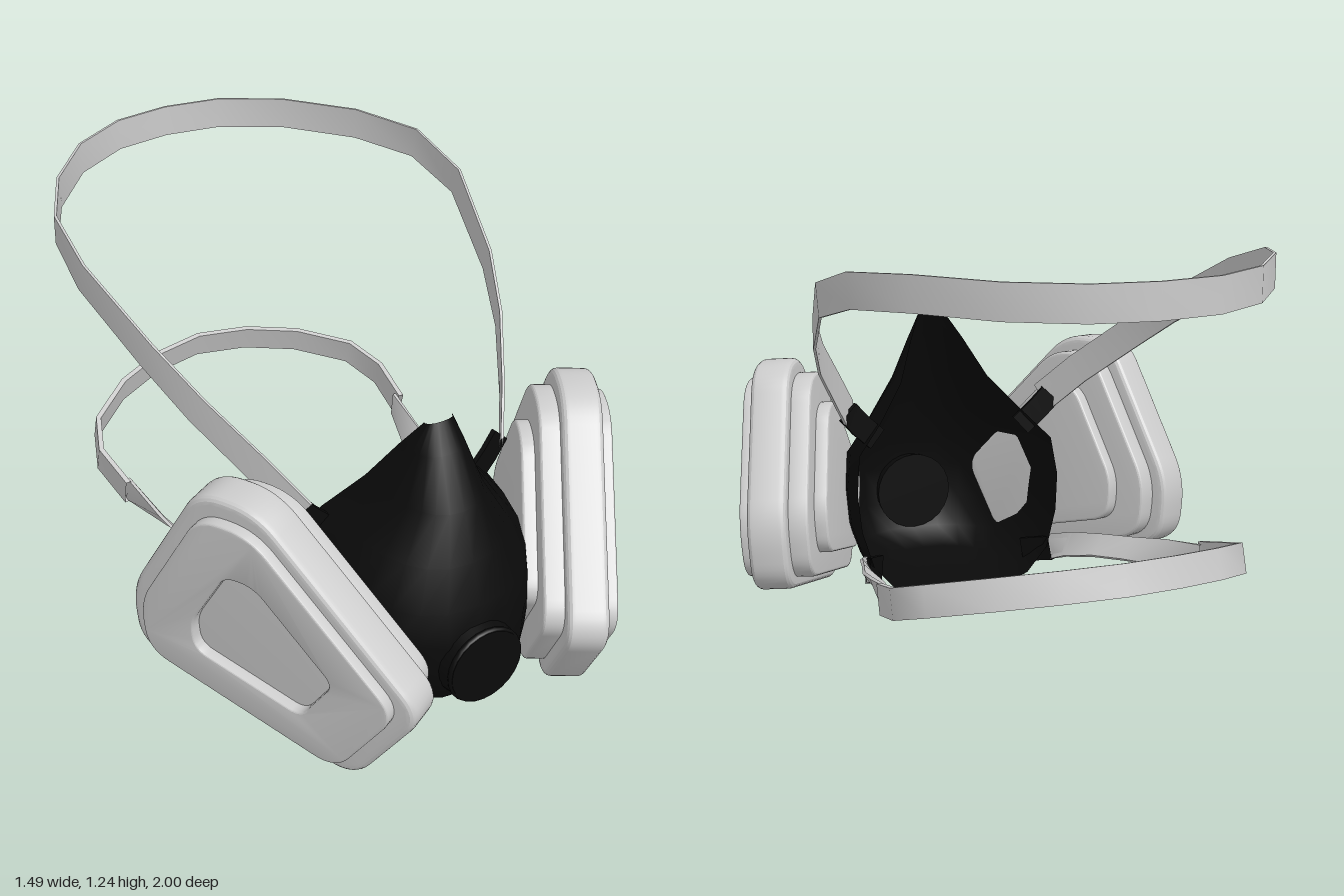
import * as THREE from 'three';
import { toCreasedNormals } from 'three/addons/utils/BufferGeometryUtils.js';

const grey = new THREE.MeshStandardMaterial({ color: 0xcccccc });
const strapMat = new THREE.MeshStandardMaterial({ color: 0xcccccc, side: THREE.DoubleSide });
const rubber = new THREE.MeshStandardMaterial({ color: 0x0a0a0a, side: THREE.DoubleSide });
const V = (p) => new THREE.Vector3(...p);

function add(parent, name, geo, mat) {
  const mesh = new THREE.Mesh(geo, mat);
  mesh.name = name;
  parent.add(mesh);
  return mesh;
}

// Indexed grid of points, rows joined by quads
function gridGeometry(rows, closed) {
  const n = rows[0].length, index = [];
  for (let i = 0; i < rows.length - 1; i++) {
    for (let j = 0; j < (closed ? n : n - 1); j++) {
      const k = (j + 1) % n, a = i * n + j, b = i * n + k;
      index.push(a, a + n, b, b, a + n, b + n);
    }
  }
  const geo = new THREE.BufferGeometry();
  geo.setAttribute('position', new THREE.Float32BufferAttribute(rows.flat().flatMap((p) => p.toArray()), 3));
  geo.setIndex(index);
  geo.computeVertexNormals();
  return geo;
}

// Flat band with a thin rectangular section; upAt(0..1) sets its twist
function ribbon(path, width, thick, upAt) {
  const pts = path.map(V), last = pts.length - 1;
  const rows = pts.map((p, i) => {
    const t = pts[Math.min(i + 1, last)].clone().sub(pts[Math.max(i - 1, 0)]).normalize();
    const up = V(upAt(i / last));
    const w = up.addScaledVector(t, -up.dot(t)).normalize();
    const n = t.clone().cross(w);
    return [[1, 1], [1, -1], [-1, -1], [-1, 1]].map(([a, b]) =>
      p.clone().addScaledVector(w, a * width / 2).addScaledVector(n, b * thick / 2));
  });
  return toCreasedNormals(gridGeometry(rows, true), 0.7);
}
const upright = () => [0, 1, 0];
const flip = ([x, y, z]) => [-x, y, z];
const mirrored = (half) => [...half, ...half.slice(0, -1).reverse().map(flip)];

// Rounded outline of the filter cartridge, counter-clockwise, scaled about its centre
const corners = [[-0.49, -0.09], [-0.27, -0.42], [0.44, -0.23], [0.45, -0.03], [0.19, 0.41], [0, 0.41]];
function outline(s, Type = THREE.Shape) {
  const pts = corners.map(([x, y]) => new THREE.Vector2(x * s, (y + 0.03) * s - 0.03));
  const shape = new Type();
  pts.forEach((p, i) => {
    const towards = (q) => p.clone().add(q.clone().sub(p).setLength(0.085 * s));
    const a = towards(pts[(i + 5) % 6]), b = towards(pts[(i + 1) % 6]);
    if (i) shape.lineTo(a.x, a.y); else shape.moveTo(a.x, a.y);
    shape.quadraticCurveTo(p.x, p.y, b.x, b.y);
  });
  shape.closePath();
  return shape;
}

// One slab of the cartridge between two depths
function slab(scale, z0, z1, bevel, hole) {
  const shape = outline(scale);
  if (hole) shape.holes.push(outline(hole, THREE.Path));
  const geo = new THREE.ExtrudeGeometry(shape, {
    depth: z1 - z0 - 2 * bevel, curveSegments: 8, bevelEnabled: true,
    bevelSize: bevel, bevelThickness: bevel, bevelOffset: -bevel, bevelSegments: 4,
  });
  geo.translate(0, 0, z0 + bevel);
  return toCreasedNormals(geo, 0.3);
}

function cartridge() {
  const g = new THREE.Group();
  g.name = 'filterCartridge';
  add(g, 'cartridgeBody', slab(1, -0.125, -0.005, 0.022), grey);
  add(g, 'windowedFrontPlate', slab(0.87, -0.015, 0.028, 0.008, 0.48), grey);
  add(g, 'backStep', slab(0.89, -0.185, -0.115, 0.012), grey);
  // Reaches through the cheek of the mask as the air port
  add(g, 'backCap', slab(0.66, -0.225, -0.175, 0.01), grey);
  g.position.set(0.547, 0.39, 0.6);
  g.rotation.set(0.06, 1.09, 0, 'YXZ');
  return g;
}

// Face piece: U-shaped rows from the open rim round to the front centre
function maskGeometry() {
  // rim x, y, z, then front centre y, z
  const rows = [
    [0.045, 0.90, 0.60, 0.90, 0.62], [0.09, 0.82, 0.55, 0.82, 0.665], [0.15, 0.70, 0.48, 0.68, 0.74],
    [0.245, 0.59, 0.41, 0.54, 0.79], [0.33, 0.50, 0.37, 0.42, 0.83], [0.345, 0.38, 0.35, 0.32, 0.85],
    [0.335, 0.26, 0.34, 0.20, 0.85], [0.30, 0.14, 0.33, 0.11, 0.81], [0.23, 0.06, 0.33, 0.07, 0.69],
    [0.13, 0.02, 0.33, 0.045, 0.54], [0.06, 0.01, 0.33, 0.01, 0.34],
  ];
  const n = 7;
  return gridGeometry(rows.map(([x, y, z, fy, fz]) => {
    const row = [];
    for (let j = -n; j <= n; j++) {
      const a = (Math.PI / 2) * (1 - Math.abs(j) / n);
      const c = Math.pow(Math.max(Math.cos(a), 0), 0.82), s = Math.pow(Math.sin(a), 0.9);
      row.push(new THREE.Vector3(Math.sign(j) * x * c, y + (fy - y) * s, z + (fz - z) * s));
    }
    return row;
  }), false);
}

export function createModel() {
  const model = new THREE.Group();
  model.name = 'respirator';

  add(model, 'facePiece', maskGeometry(), rubber);

  // Round exhale valve with a raised lip
  const valve = new THREE.Group();
  valve.name = 'exhaleValve';
  const disc = new THREE.CylinderGeometry(0.115, 0.13, 0.09, 24);
  disc.rotateX(Math.PI / 2);
  add(valve, 'valveCover', toCreasedNormals(disc, 0.6), rubber);
  add(valve, 'valveLip', new THREE.TorusGeometry(0.112, 0.01, 8, 24), rubber).position.z = 0.035;
  valve.position.set(0, 0.245, 0.835);
  model.add(valve);

  // Parts repeated on both sides
  for (const side of [1, -1]) {
    const half = new THREE.Group();
    half.name = side > 0 ? 'leftSide' : 'rightSide';
    half.scale.x = side;
    half.add(cartridge());
    add(half, 'upperTab', ribbon([[0.25, 0.535, 0.44], [0.305, 0.585, 0.43], [0.35, 0.635, 0.42]], 0.075, 0.015, upright), rubber);
    add(half, 'lowerTab', ribbon([[0.25, 0.11, 0.42], [0.295, 0.12, 0.38], [0.32, 0.13, 0.34]], 0.08, 0.015, upright), rubber);
    // Twists halfway along
    add(half, 'lowerStrapEnd', ribbon([[0.315, 0.125, 0.37], [0.345, 0.165, 0.25], [0.38, 0.2, 0.1],
      [0.42, 0.222, -0.03], [0.455, 0.25, -0.18], [0.495, 0.278, -0.36]], 0.085, 0.01,
    (t) => [1.1 * Math.sin(Math.PI * t), 1, 0]), strapMat);
    model.add(half);
  }

  // Head strap over the crown and neck strap behind
  add(model, 'upperStrap', ribbon(mirrored([[0.335, 0.62, 0.45], [0.41, 0.73, 0.34], [0.505, 0.86, 0.18],
    [0.57, 0.97, 0.02], [0.635, 1.11, -0.25], [0.617, 1.165, -0.46], [0.52, 1.18, -0.66],
    [0.36, 1.18, -0.86], [0.18, 1.18, -0.97], [0, 1.18, -0.997]]), 0.097, 0.008, upright), strapMat);
  add(model, 'lowerStrap', ribbon(mirrored([[0.505, 0.28, -0.34], [0.522, 0.32, -0.5], [0.475, 0.36, -0.62],
    [0.33, 0.395, -0.735], [0.17, 0.415, -0.805], [0, 0.423, -0.835]]), 0.088, 0.016, () => [0, 1, 0.32]), strapMat);

  return model;
}
